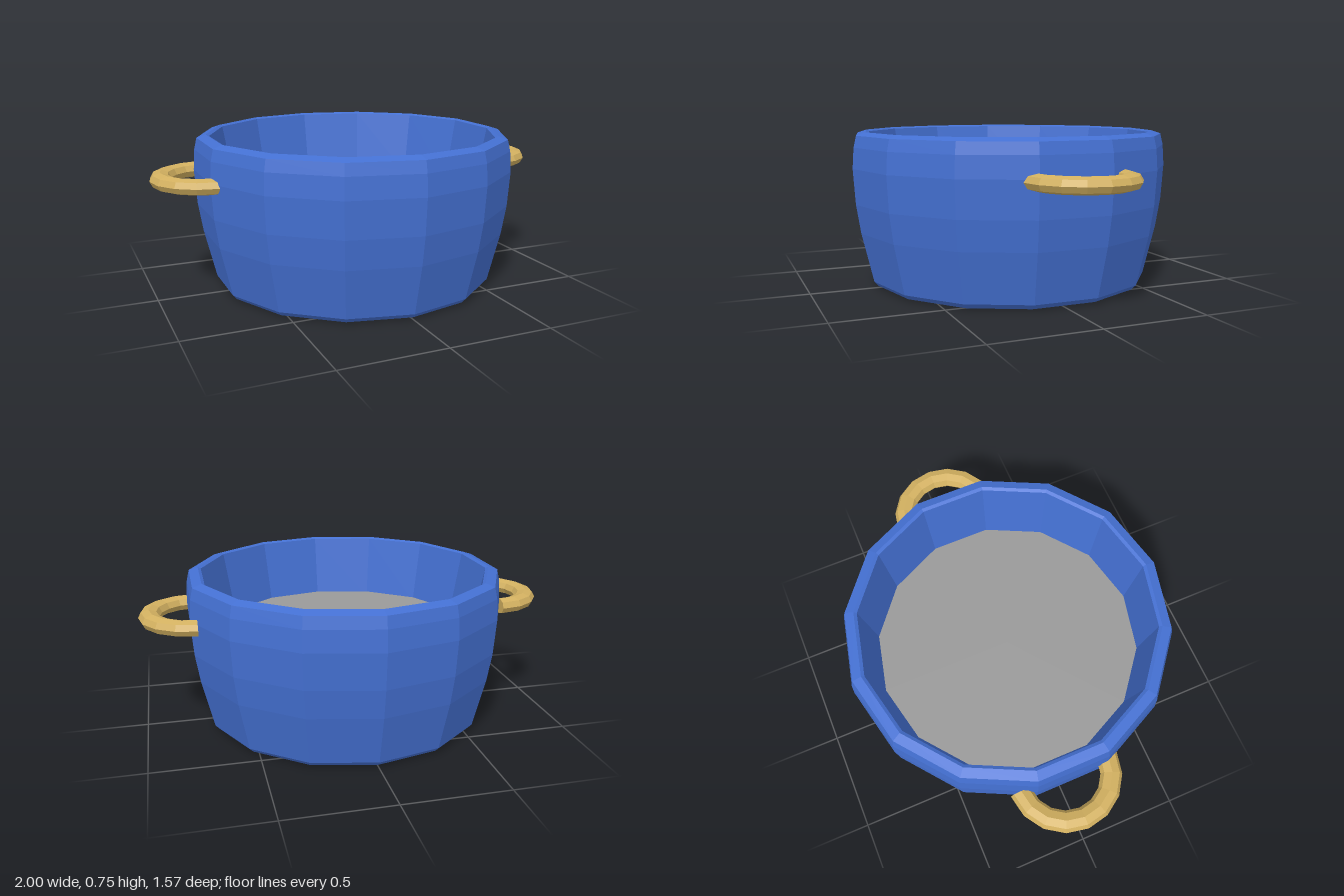
import * as THREE from 'three';

const SIDES = 14;

export function createModel() {
  const paint = (name, color) => {
    const m = new THREE.MeshStandardMaterial({ color, flatShading: true });
    m.name = name;
    return m;
  };
  const blue = paint('blue enamel', 0x4470d2);
  const gold = paint('brass', 0xd2b060);
  const grey = paint('grey filling', 0x999999);

  const pot = new THREE.Group();
  pot.name = 'cookingPot';
  const add = (parent, name, geometry, material) => {
    const mesh = new THREE.Mesh(geometry, material);
    mesh.name = name;
    parent.add(mesh);
    return mesh;
  };

  // Body: underside, bulging wall, bevelled rim and inner wall
  const profile = [
    [0, 0], [0.65, 0], [0.675, 0.008], [0.695, 0.03],
    [0.752, 0.27], [0.774, 0.41], [0.785, 0.58], [0.778, 0.68],
    [0.765, 0.735], [0.72, 0.75], [0.705, 0.742], [0.645, 0.42],
  ].map(([r, y]) => new THREE.Vector2(r, y));
  add(pot, 'body', new THREE.LatheGeometry(profile, SIDES), blue);

  // Flat surface inside the pot
  const filling = new THREE.CircleGeometry(0.65, SIDES, Math.PI / 2);
  filling.rotateX(-Math.PI / 2).translate(0, 0.44, 0);
  add(pot, 'filling', filling, grey);

  // Handles: flattened half rings with closed ends, one on each side
  const ringRadius = 0.215, tube = 0.05, flatten = 0.76;
  for (const side of [1, -1]) {
    const handle = new THREE.Group();
    handle.name = side > 0 ? 'leftHandle' : 'rightHandle';
    const ring = new THREE.TorusGeometry(ringRadius, tube, 8, 8, Math.PI);
    ring.rotateZ(-Math.PI / 2).rotateX(Math.PI / 2).scale(1, flatten, 1);
    add(handle, 'handleRing', ring, gold);
    for (const end of [1, -1]) {
      const cap = new THREE.CircleGeometry(tube, 8);
      cap.rotateY(-Math.PI / 2).scale(1, flatten, 1).translate(0, 0, end * ringRadius);
      add(handle, 'handleEnd', cap, gold);
    }
    handle.position.set(side * 0.735, 0.568, -0.03);
    handle.rotation.y = side > 0 ? 0 : Math.PI;
    pot.add(handle);
  }
  return pot;
}
